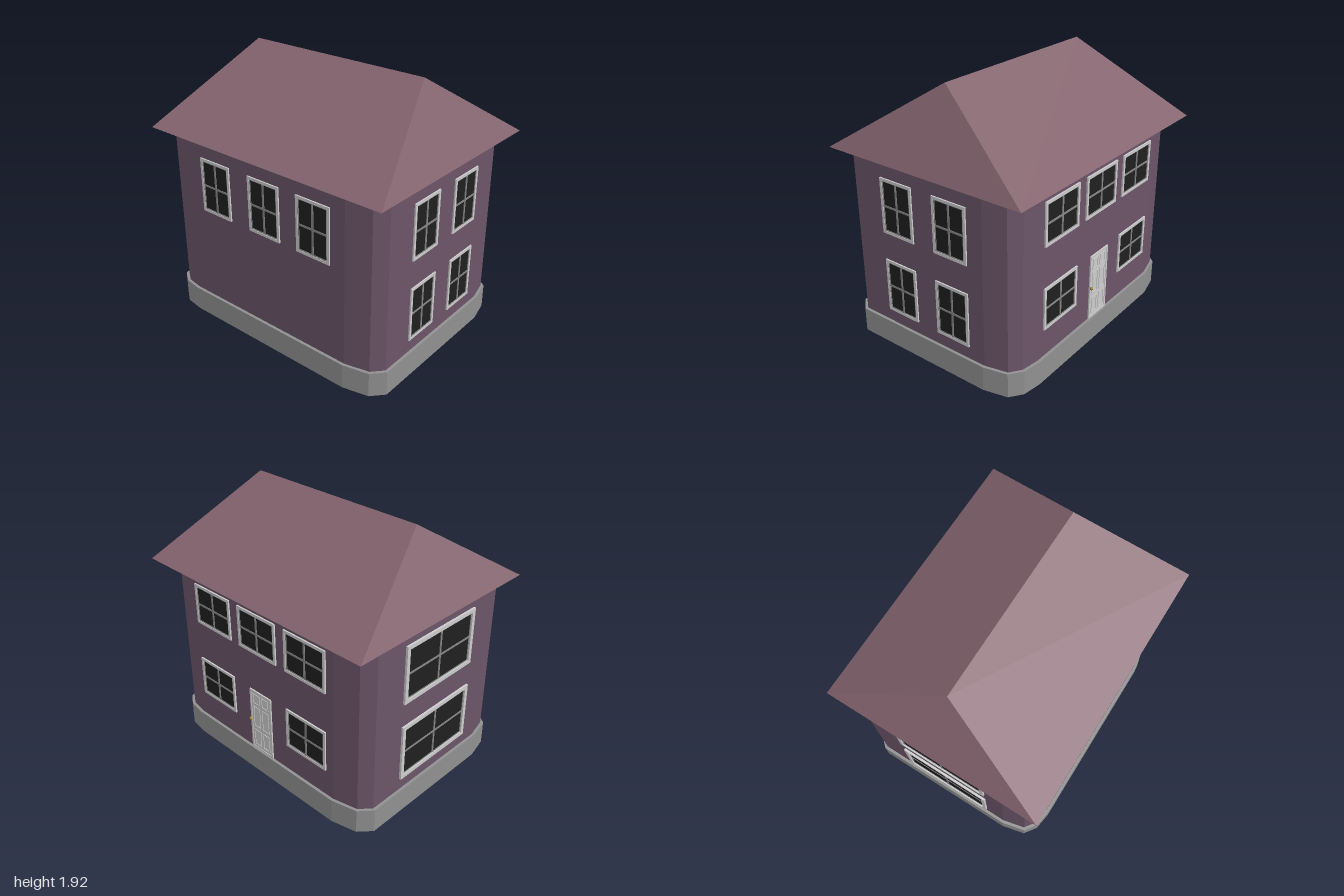
import * as THREE from 'three';
import { ConvexGeometry } from 'three/addons/geometries/ConvexGeometry.js';

const mat = (color, side = THREE.FrontSide) => new THREE.MeshStandardMaterial({ color, side });
const M = {
  wall: mat(0x6b5468, THREE.DoubleSide), roof: mat(0x84646e), base: mat(0x909090, THREE.DoubleSide),
  frame: mat(0xcccccc), bar: mat(0x858585), glass: mat(0x1f1f1f), knob: mat(0x9c7a2e),
};

function add(parent, name, geometry, material, x = 0, y = 0, z = 0) {
  const mesh = new THREE.Mesh(geometry, material);
  mesh.name = name;
  mesh.position.set(x, y, z);
  parent.add(mesh);
  return mesh;
}

const box = (w, h, d) => new THREE.BoxGeometry(w, h, d);

// Half of the floor plan; the other half is the same turned by 180 degrees
const HALF = [[0.965, -0.485], [0.965, 0.612], [0.885, 0.7], [0.7, 0.7425], [-0.7, 0.7425], [-0.835, 0.722], [-0.925, 0.657]];
const PLAN_Z = 0.0225;
// Counter-clockwise outline, with z pointing down the shape's y axis
const PLAN = [...HALF, ...HALF.map(([x, z]) => [-x, -z])].map(([x, z]) => new THREE.Vector2(x, -z)).reverse();

// Floor plan moved inwards by an even distance
function insetPlan(d) {
  const n = PLAN.length;
  const normal = (a, b) => new THREE.Vector2(a.y - b.y, b.x - a.x).normalize();
  return PLAN.map((p, i) => {
    const n1 = normal(PLAN[(i + n - 1) % n], p);
    const n2 = normal(p, PLAN[(i + 1) % n]);
    return n1.clone().add(n2).multiplyScalar(d / (1 + n1.dot(n2))).add(p);
  });
}

// Open ring following the floor plan, between two insets
function ringWall(outer, inner, height) {
  const shape = new THREE.Shape(insetPlan(outer));
  shape.holes.push(new THREE.Path(insetPlan(inner)));
  return new THREE.ExtrudeGeometry(shape, { depth: height, bevelEnabled: false }).rotateX(-Math.PI / 2);
}

// Rectangular frame with a rectangular opening, lying in the xy plane
function frameGeometry(w, h, border, depth) {
  const rect = (a, b) => [[-a, -b], [a, -b], [a, b], [-a, b]].map(([x, y]) => new THREE.Vector2(x, y));
  const shape = new THREE.Shape(rect(w / 2, h / 2));
  shape.holes.push(new THREE.Path(rect(w / 2 - border, h / 2 - border)));
  return new THREE.ExtrudeGeometry(shape, { depth, bevelEnabled: false });
}

// Four-pane window facing +z, with the wall surface at z = 0
function makeWindow(w, h, proud, border = 0.019) {
  const g = new THREE.Group();
  g.name = 'window';
  const iw = w - 2 * border, ih = h - 2 * border;
  add(g, 'windowFrame', frameGeometry(w, h, border, proud + 0.008), M.frame, 0, 0, -0.008);
  add(g, 'windowSash', frameGeometry(iw + 0.002, ih + 0.002, 0.007, 0.014), M.bar, 0, 0, -0.007);
  add(g, 'windowGlass', box(iw + 0.008, ih + 0.008, 0.055), M.glass, 0, 0, -0.0245);
  add(g, 'windowMullion', box(0.014, ih, 0.012), M.bar, 0, 0, 0.002);
  add(g, 'windowTransom', box(iw, 0.014, 0.01), M.bar, 0, 0, 0.002);
  return g;
}

function makeDoor() {
  const g = new THREE.Group();
  g.name = 'door';
  const w = 0.215, h = 0.5;
  add(g, 'doorSlab', box(w - 0.02, h - 0.01, 0.02), M.frame, 0, 0, -0.004);
  add(g, 'doorFrame', frameGeometry(w, h, 0.014, 0.02), M.frame, 0, 0, -0.01);
  // Two columns of panels
  for (const x of [-0.044, 0.044]) {
    for (const [y, ph] of [[0.18, 0.08], [0.03, 0.17], [-0.15, 0.13]]) {
      add(g, 'doorPanelMoulding', frameGeometry(0.068, ph, 0.007, 0.004), M.frame, x, y, 0.006);
    }
  }
  add(g, 'doorKnob', new THREE.SphereGeometry(0.012, 16, 12), M.knob, -0.1, 0, 0.018);
  return g;
}

export function createModel() {
  const house = new THREE.Group();
  house.name = 'house';

  // Shell
  add(house, 'foundation', ringWall(0, 0.028, 0.18), M.base, 0, 0, PLAN_Z);
  add(house, 'walls', ringWall(0.021, 0.031, 1.222), M.wall, 0, 0.178, PLAN_Z);

  // Hipped roof
  const corners = [];
  for (const s of [-1, 1]) {
    corners.push(new THREE.Vector3(s * 0.715, 1.92, 0));
    for (const t of [-1, 1]) corners.push(new THREE.Vector3(s, 1.4, t * 0.796));
  }
  add(house, 'roof', new ConvexGeometry(corners), M.roof);

  // Openings, placed on the four walls
  const place = (item, x, y, z, turn) => {
    item.position.set(x, y, z);
    item.rotation.y = turn;
    house.add(item);
  };
  const front = 0.744, back = -0.699, side = 0.944;
  for (const x of [-0.423, 0.026, 0.447]) place(makeWindow(0.274, 0.4, 0.01), x, 1.077, front, 0);
  for (const y of [1.077, 0.473]) {
    for (const z of [0.248, -0.202]) place(makeWindow(0.274, 0.4, 0.01), side, y, z, Math.PI / 2);
  }
  for (const y of [1.09, 0.485]) place(makeWindow(0.69, 0.425, 0.016, 0.028), -side, y, 0.015, -Math.PI / 2);
  for (const x of [0.455, 0.002, -0.449]) place(makeWindow(0.368, 0.308, 0.011), x, 1.145, back, Math.PI);
  for (const x of [0.455, -0.449]) place(makeWindow(0.368, 0.308, 0.011), x, 0.54, back, Math.PI);
  place(makeDoor(), -0.005, 0.432, back, Math.PI);

  return house;
}
